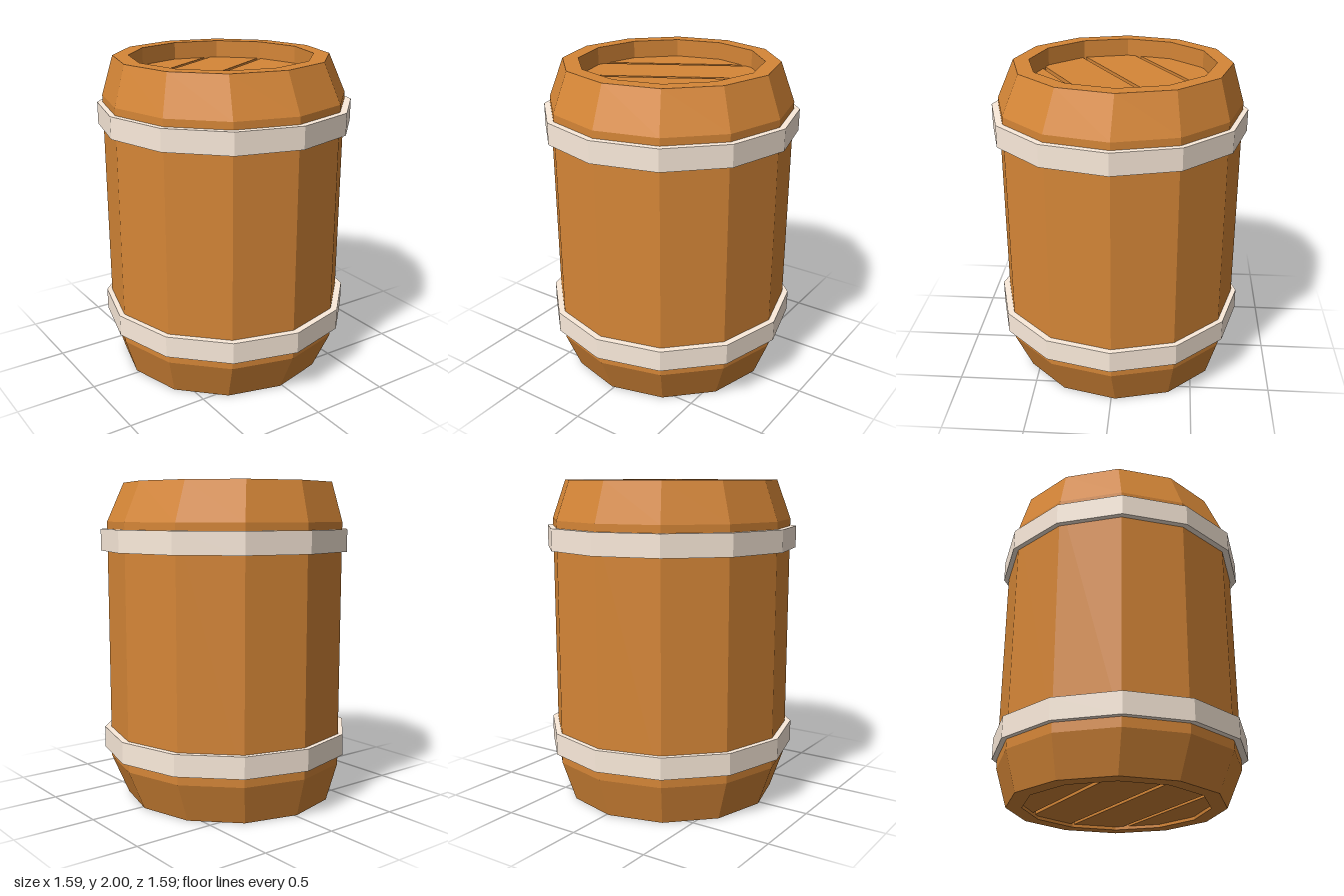
import * as THREE from 'three';

const SIDES = 12;
const HOLE = 0.57; // radius of the opening at each end
const END = { x: -0.015, z: -0.025 }; // the ends sit slightly off the axis
const wood = new THREE.MeshStandardMaterial({ color: 0xd58637, flatShading: true });
const metal = new THREE.MeshStandardMaterial({ color: 0xfbebdb, flatShading: true });

function lathe(name, profile, material) {
  const points = profile.map(([r, y]) => new THREE.Vector2(r, y));
  const mesh = new THREE.Mesh(new THREE.LatheGeometry(points, SIDES), material);
  mesh.name = name;
  return mesh;
}

// Half width of the twelve-sided opening at distance v from its centre line
function halfWidth(v) {
  const step = (2 * Math.PI) / SIDES;
  const d = Math.abs(v);
  const i = Math.min(Math.floor(Math.asin(Math.min(1, d / HOLE)) / step + 1e-6), 2);
  const z0 = HOLE * Math.sin(i * step), z1 = HOLE * Math.sin((i + 1) * step);
  return HOLE * THREE.MathUtils.lerp(Math.cos(i * step), Math.cos((i + 1) * step), (d - z0) / (z1 - z0));
}

// One board of the lid between v0 and v1, trimmed to the opening
function plank(v0, v1, y, height) {
  const corners = [0, 1, 2, 3, 4, 5, 6].map((i) => HOLE * Math.sin(((i - 3) * Math.PI) / 6));
  const vs = [v0, ...corners.filter((v) => v > v0 + 1e-4 && v < v1 - 1e-4), v1];
  const outline = [
    ...vs.map((v) => new THREE.Vector2(halfWidth(v), v)),
    ...vs.slice().reverse().map((v) => new THREE.Vector2(-halfWidth(v), v)),
  ];
  const geometry = new THREE.ExtrudeGeometry(new THREE.Shape(outline), { depth: height, bevelEnabled: false });
  geometry.rotateX(-Math.PI / 2).translate(0, y, 0);
  const mesh = new THREE.Mesh(geometry, wood);
  mesh.name = 'plank';
  return mesh;
}

// Four boards with gaps over a backing disc
function lid(name, plankY, backingY) {
  const group = new THREE.Group();
  group.name = name;
  for (const [a, b] of [[-0.565, -0.349], [-0.321, -0.014], [0.014, 0.321], [0.349, 0.565]]) {
    group.add(plank(a, b, plankY, 0.04));
  }
  const backing = new THREE.Mesh(new THREE.CylinderGeometry(HOLE, HOLE, 0.04, SIDES), wood);
  backing.name = 'lidBacking';
  backing.position.y = backingY;
  group.add(backing);
  group.position.set(END.x, 0, END.z);
  group.rotation.y = Math.PI / 6;
  return group;
}

export function createModel() {
  const model = new THREE.Group();
  model.name = 'barrel';

  // Staves with tapered ends and rims
  const body = lathe('staves', [
    [HOLE, 0.1], [HOLE, 0], [0.667, 0], [0.756, 0.245],
    [0.756, 1.76], [0.667, 2], [HOLE, 2], [HOLE, 1.82],
  ], wood);
  const p = body.geometry.attributes.position;
  for (let i = 0; i < p.count; i++) {
    const atEnd = p.getY(i) < 0.2 || p.getY(i) > 1.8;
    p.setX(i, p.getX(i) + (atEnd ? END.x : -0.005));
    p.setZ(i, p.getZ(i) + (atEnd ? END.z : -0.008));
  }
  model.add(body);

  // Lids: the top one deeply recessed, the bottom one nearly flush
  model.add(lid('topLid', 1.85, 1.845), lid('bottomLid', 0.02, 0.065));

  // Metal hoops
  for (const [name, y] of [['lowerHoop', 0.305], ['upperHoop', 1.58]]) {
    const hoop = lathe(name, [
      [0.74, y], [0.793, y], [0.793, y + 0.135], [0.74, y + 0.135], [0.74, y],
    ], metal);
    hoop.position.set(-0.003, 0, -0.003);
    model.add(hoop);
  }
  return model;
}
